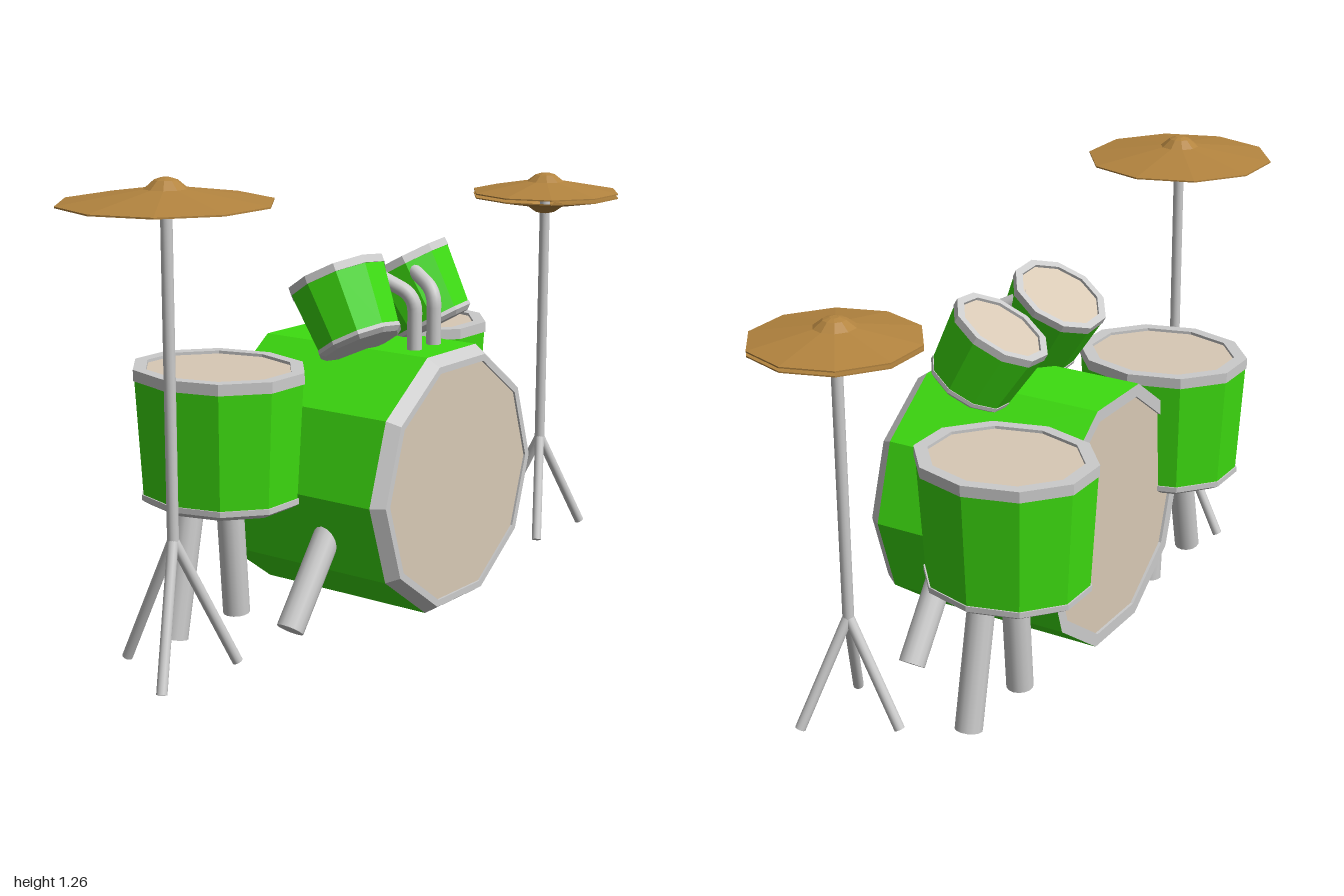
import * as THREE from 'three';

const SIDES = 10;
const MID_Z = -0.035; // the kit mirrors about this plane

const faceted = (color) => new THREE.MeshStandardMaterial({ color, flatShading: true, side: THREE.DoubleSide });
const green = faceted(0x3ddc10);
const skin = faceted(0xd8c9b5);
const brass = faceted(0xb3843f);
const rimGrey = faceted(0xcccccc);
const metal = new THREE.MeshStandardMaterial({ color: 0xcccccc });

const vec = (p) => new THREE.Vector3(...p);

// Ten-sided turned part from [radius, height] pairs
function turned(name, profile, material) {
  const points = profile.map(([r, y]) => new THREE.Vector2(r, y));
  const mesh = new THREE.Mesh(new THREE.LatheGeometry(points, SIDES), material);
  mesh.name = name;
  return mesh;
}

// Round bar between two points
function bar(name, from, to, radius) {
  const a = vec(from), b = vec(to);
  const dir = b.clone().sub(a);
  const mesh = new THREE.Mesh(new THREE.CylinderGeometry(radius, radius, dir.length(), 14), metal);
  mesh.position.copy(a).add(b).multiplyScalar(0.5);
  mesh.quaternion.setFromUnitVectors(new THREE.Vector3(0, 1, 0), dir.normalize());
  mesh.name = name;
  return mesh;
}

// Tapered drum standing on y = 0, with rims and a slightly sunken head
function tom(name, top, bottom, height, rim) {
  const drum = new THREE.Group();
  drum.name = name;
  drum.add(
    turned('shell', [[bottom, rim], [top, height - rim]], green),
    turned('bottomRim', [[0, 0], [bottom * 0.9, 0], [bottom * 1.02, rim * 0.5], [bottom * 1.02, rim], [bottom, rim]], rimGrey),
    turned('topRim', [[top, height - rim], [top * 1.015, height - rim], [top * 1.015, height],
      [top * 0.86, height], [top * 0.86, height - 0.01]], rimGrey),
    turned('head', [[top * 0.87, height - 0.008], [0, height - 0.008]], skin)
  );
  return drum;
}

function bassDrum() {
  const drum = new THREE.Group();
  drum.name = 'bassDrum';
  const R = 0.371;
  drum.add(
    turned('shell', [[R, -0.22], [R, 0.32]], green),
    turned('frontRim', [[R, 0.32], [0.347, 0.355], [0.328, 0.355], [0.328, 0.347]], rimGrey),
    turned('frontHead', [[0.33, 0.349], [0, 0.349]], skin),
    turned('backRim', [[0.335, -0.21], [0.335, -0.22], [R, -0.22]], rimGrey),
    turned('backHead', [[0, -0.212], [0.337, -0.212]], skin)
  );
  drum.rotation.z = -Math.PI / 2;
  drum.position.set(0, 0.392, MID_Z);
  return drum;
}

// Cymbal with a small bell; edge on y = 0
function cymbal(name, radius) {
  const profile = [[radius, 0], [radius, 0.004], [0.055, 0.037], [0.03, 0.058], [0.012, 0.064], [0, 0.064]];
  const inner = [[0, 0.058], [0.028, 0.052], [0.053, 0.032], [radius, 0]];
  return turned(name, [...inner, ...profile], brass);
}

// Pole with three splayed feet
function stand(name, top, hub, foot, spread) {
  const g = new THREE.Group();
  g.name = name;
  g.add(bar('pole', [0, hub - 0.02, 0], [0, top, 0], 0.015));
  for (let i = 0; i < 3; i++) {
    const a = Math.PI + (i * Math.PI * 2) / 3;
    g.add(bar('foot', [0, hub, 0], [spread * Math.cos(a), foot, spread * Math.sin(a)], 0.014));
  }
  return g;
}

export function createModel() {
  const kit = new THREE.Group();
  kit.name = 'drumKit';
  kit.add(bassDrum());

  // Mirrored pairs: s = 1 towards +z, s = -1 towards -z
  for (const s of [1, -1]) {
    const z = (d) => MID_Z + s * d;

    // Bass drum spur
    kit.add(bar('bassSpur', [0.145, 0.29, z(0.31)], [0.145, 0.06, z(0.48)], 0.037));

    // Floor tom on two splayed legs
    const floorTom = tom('floorTom', 0.245, 0.226, 0.37, 0.03);
    floorTom.scale.z = 0.86;
    floorTom.position.set(-0.13, 0.35, z(0.43));
    kit.add(floorTom);
    kit.add(bar('floorTomLeg', [-0.13, 0.37, z(0.55)], [-0.13, 0.02, z(0.625)], 0.037));
    kit.add(bar('floorTomLeg', [-0.13, 0.37, z(0.395)], [-0.13, 0.02, z(0.37)], 0.037));

    // Tilted rack tom
    const bottom = new THREE.Vector3(0.148, 0.765, z(0.172));
    const axis = new THREE.Vector3(0.048, 0.945, z(0.153)).sub(bottom);
    const rackTom = tom('rackTom', 0.139, 0.12, axis.length(), 0.022);
    rackTom.scale.z = 0.94;
    rackTom.position.copy(bottom);
    rackTom.quaternion.setFromUnitVectors(new THREE.Vector3(0, 1, 0), axis.normalize());
    kit.add(rackTom);

    // Bent arm carrying the rack tom
    const path = new THREE.CurvePath();
    const p = [[0.23, 0.72, z(0.045)], [0.23, 0.85, z(0.045)], [0.23, 0.885, z(0.047)],
      [0.2, 0.905, z(0.056)], [0.11, 0.95, z(0.085)]].map(vec);
    path.add(new THREE.LineCurve3(p[0], p[1]));
    path.add(new THREE.QuadraticBezierCurve3(p[1], p[2], p[3]));
    path.add(new THREE.LineCurve3(p[3], p[4]));
    const arm = new THREE.Mesh(new THREE.TubeGeometry(path, 24, 0.02, 12), metal);
    arm.name = 'rackTomArm';
    kit.add(arm);
  }

  // Crash cymbal
  const crash = new THREE.Group();
  crash.name = 'crashCymbal';
  const crashDisc = cymbal('disc', 0.27);
  crashDisc.position.y = 1.195;
  crash.add(crashDisc, stand('crashStand', 1.22, 0.35, 0.003, 0.167));
  crash.position.set(0, 0, 0.73);
  kit.add(crash);

  // Hi-hat pair, lower disc inverted
  const hiHat = new THREE.Group();
  hiHat.name = 'hiHat';
  const upper = cymbal('upperDisc', 0.22);
  upper.position.y = 1.08;
  upper.scale.y = 0.9;
  const lower = cymbal('lowerDisc', 0.22);
  lower.position.y = 1.072;
  lower.rotation.x = Math.PI;
  lower.scale.y = 0.85;
  hiHat.add(upper, lower, stand('hiHatStand', 1.11, 0.33, 0.043, 0.147));
  hiHat.position.set(0.15, 0, -0.78);
  kit.add(hiHat);

  return kit;
}
